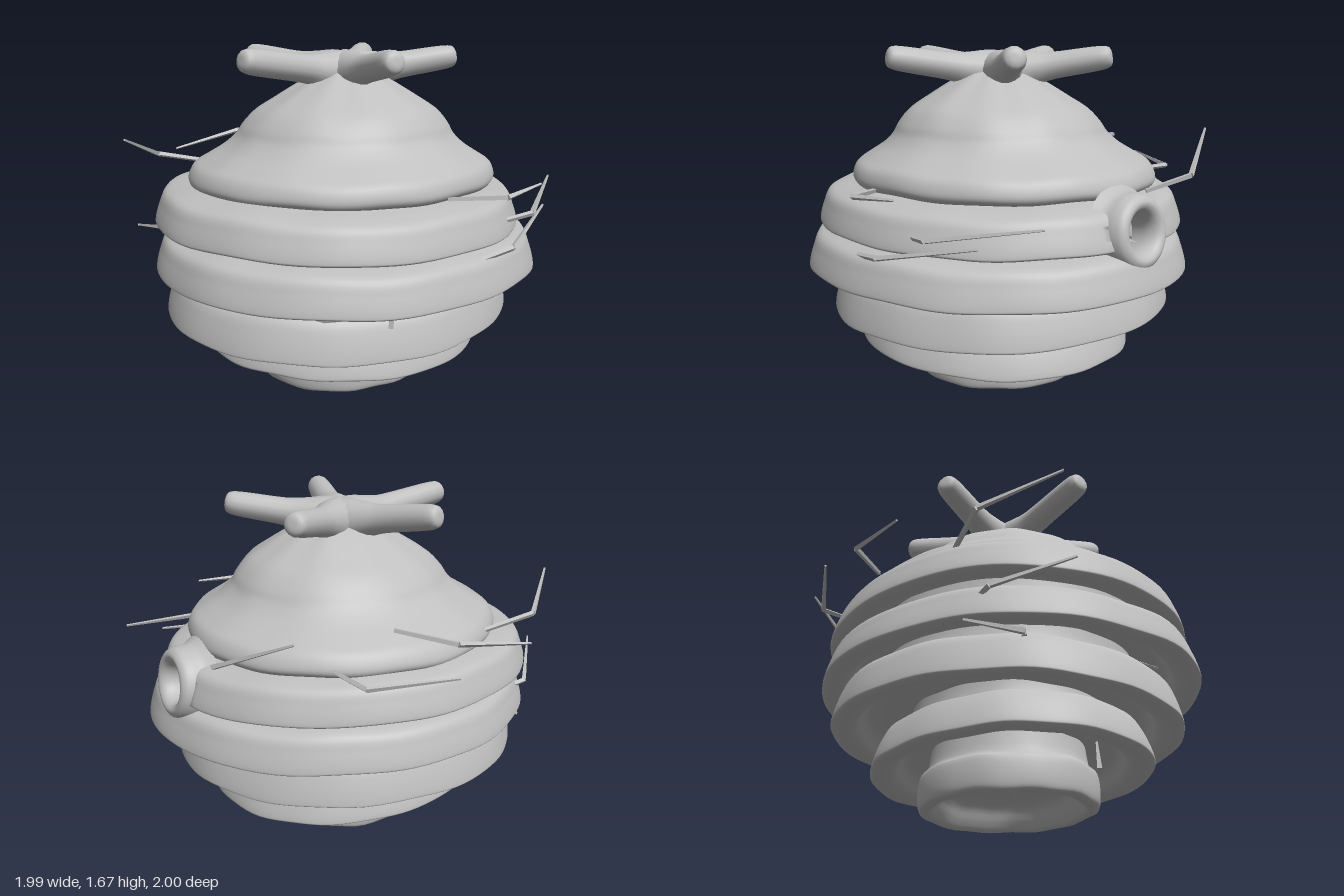
import * as THREE from 'three';
import { mergeVertices } from 'three/addons/utils/BufferGeometryUtils.js';

const V2 = (p) => new THREE.Vector2(p[0], p[1]);
const V3 = (p) => new THREE.Vector3(p[0], p[1], p[2]);
const UP = new THREE.Vector3(0, 1, 0);

// Smooth lathe from a few profile points, reshaped by a rule
function warpedLathe(points, steps, segments, rule) {
  const profile = new THREE.SplineCurve(points.map(V2)).getPoints(steps);
  profile.forEach((p) => { p.x = Math.max(p.x, 0); });
  let geo = new THREE.LatheGeometry(profile, segments);
  if (rule) {
    const pos = geo.attributes.position;
    const v = new THREE.Vector3();
    for (let i = 0; i < pos.count; i++) {
      rule(v.fromBufferAttribute(pos, i));
      pos.setXYZ(i, v.x, v.y, v.z);
    }
  }
  geo.deleteAttribute('normal');
  geo.deleteAttribute('uv');
  geo = mergeVertices(geo, 1e-5);
  geo.computeVertexNormals();
  return geo;
}

// Hand-made unevenness
function wobble(v, seed, amount) {
  const a = Math.atan2(v.z, v.x);
  const k = 1 + amount * (Math.sin(3 * a + seed) + 0.6 * Math.sin(7 * a + seed * 2.3) + 0.5 * Math.sin(13 * a + seed * 1.7));
  v.x *= k;
  v.z *= k;
  v.y += amount * 0.7 * (Math.sin(5 * a + seed * 3.1) + Math.sin(11 * a + seed));
}

const DOOR = { x: 0.045, y: 0.86, r: 0.1 };

export function createModel() {
  const group = new THREE.Group();
  const clay = new THREE.MeshStandardMaterial({ color: 0xbfbfbf, side: THREE.DoubleSide });
  const add = (name, geo, parent = group) => {
    const mesh = new THREE.Mesh(geo, clay);
    mesh.name = name;
    parent.add(mesh);
    return mesh;
  };

  // Overhanging bands: centre, radii, bottom, top, top radius, core height and tilt
  const bands = [
    { cx: 0.05, cz: 0.035, rx: 0.67, rz: 0.725, yb: 0.18, yt: 0.375, rt: 0.6, core: 0.17, tx: -0.015, tz: 0.03 },
    { cx: 0.02, cz: 0.03, rx: 0.84, rz: 0.9, yb: 0.36, yt: 0.58, rt: 0.75, core: 0.17, tx: -0.035, tz: -0.02 },
    { cx: 0.06, cz: 0.005, rx: 0.93, rz: 0.995, yb: 0.585, yt: 0.785, rt: 0.82, core: 0.17, tx: -0.01, tz: 0 },
    { cx: 0.025, cz: 0.025, rx: 0.885, rz: 0.95, yb: 0.8, yt: 0.99, rt: 0.78, core: 0.06, tx: -0.02, tz: 0.01 },
  ];
  bands.forEach((b, i) => {
    const R = (b.rx + b.rz) / 2;
    const h = b.yt - b.yb;
    const profile = [
      [R - 0.42, b.yb + 0.13], [R - 0.2, b.yb + 0.1], [R - 0.12, b.yb + 0.02], [R - 0.05, b.yb],
      [R - 0.005, b.yb + 0.008], [R, b.yb + 0.03], [R - 0.02, b.yb + h * 0.5], [R - 0.05, b.yb + h * 0.83],
      [b.rt + 0.02, b.yt - 0.005], [b.rt - 0.08, b.yt + 0.02], [b.rt - 0.1, b.yt + b.core],
    ];
    add('band' + (i + 2), warpedLathe(profile, 56, 96, (v) => {
      wobble(v, i * 1.9 + 1, 0.004);
      v.x *= b.rx / R;
      v.z *= b.rz / R;
      v.y += b.tx * v.x + b.tz * v.z;
      v.x += b.cx;
      v.z += b.cz;
      // Hollow behind the entrance
      if (v.z < -0.7 && Math.hypot(v.x - DOOR.x, v.y - DOOR.y) < DOOR.r) v.z += 0.16;
    }));
  });

  // Bottom band with a hollow and a narrow shaft in the middle
  add('bottomBand', warpedLathe([
    [0, 0.35], [0.12, 0.345], [0.145, 0.31], [0.15, 0.22], [0.17, 0.18], [0.22, 0.16], [0.31, 0.12], [0.35, 0.05],
    [0.38, 0.01], [0.42, 0.01], [0.44, 0.03], [0.445, 0.1], [0.435, 0.17], [0.4, 0.2], [0.38, 0.33],
  ], 60, 64, (v) => {
    wobble(v, 4, 0.004);
    v.x = v.x * 0.97 + 0.045;
    v.z = v.z * 1.04 + 0.02;
  }));

  // Top band and dome, leaning slightly to one side
  add('dome', warpedLathe([
    [0.55, 1.08], [0.66, 1.01], [0.71, 0.99], [0.755, 0.995], [0.775, 1.03], [0.75, 1.09], [0.69, 1.13],
    [0.61, 1.18], [0.55, 1.235], [0.515, 1.29], [0.455, 1.355], [0.37, 1.41], [0.28, 1.465], [0.2, 1.51],
    [0.1, 1.56], [0, 1.58],
  ], 64, 96, (v) => {
    wobble(v, 2.6, 0.004);
    v.x = v.x * 0.97 + 0.015 + 0.1 * Math.min(v.y - 1, 0.4);
    v.z *= 1.02;
  }));

  // Five-armed stalk: arms thicken towards the hub
  const stalk = new THREE.Group();
  stalk.name = 'stalk';
  group.add(stalk);
  const hub = [0.035, 1.525, 0.0];
  [[0.375, -0.465], [-0.295, -0.465], [-0.52, 0.185], [0.03, 0.645], [0.585, 0.21]].forEach(([x, z], i) => {
    const dx = x - hub[0], dz = z - hub[2];
    const L = Math.hypot(dx, dz);
    const arm = warpedLathe([
      [0.115, 0], [0.11, 0.08], [0.085, 0.18], [0.068, 0.28], [0.062, L - 0.1],
      [0.054, L - 0.025], [0.032, L - 0.003], [0, L],
    ], 28, 14);
    const mesh = add('stalkArm' + (i + 1), arm, stalk);
    mesh.position.set(...hub);
    mesh.quaternion.setFromUnitVectors(UP, new THREE.Vector3(dx, 0.09, dz).normalize());
  });

  // Round entrance at the back, leaning with the wall
  const door = add('entranceRing', warpedLathe([
    [0.22, 0], [0.185, 0.05], [0.175, 0.1], [0.16, 0.135], [0.13, 0.15], [0.1, 0.13], [0.085, 0.08], [0.09, 0],
  ], 32, 40));
  door.rotation.x = -Math.PI / 2 + 0.14;
  door.position.set(DOOR.x, DOOR.y - 0.015, -0.8);

  // Bent straws, thickest at the bend
  const straws = new THREE.Group();
  straws.name = 'straws';
  group.add(straws);
  const segment = (a, b, ra, rb) => {
    const p = V3(a), q = V3(b);
    const mesh = add('straw', new THREE.CylinderGeometry(rb, ra, p.distanceTo(q), 4).toNonIndexed(), straws);
    mesh.geometry.computeVertexNormals();
    mesh.position.copy(p).lerp(q, 0.5);
    mesh.quaternion.setFromUnitVectors(UP, q.sub(p).normalize());
  };
  [
    [[-0.73, 1.25, -0.72], [-0.35, 1.07, -0.9], [-0.18, 1.0, -0.77]],
    [[-0.99, 1.05, -0.08], [-0.81, 1.02, -0.43], [-0.57, 1.03, -0.45]],
    [[-0.91, 1.08, 0.41], [-0.88, 1.15, 0.0], [-0.65, 1.18, -0.17]],
    [[-0.44, 1.24, 0.98], [-0.67, 1.11, 0.67], [-0.6, 1.05, 0.41]],
    [[-0.37, 0.84, 0.97], [-0.62, 0.73, 0.7], [-0.6, 0.7, 0.5]],
    [[0.97, 1.05, -0.37], [0.985, 1.03, -0.09], [0.77, 1.01, 0.06]],
    [[0.66, 0.97, -0.92], [0.88, 0.88, -0.45], [0.83, 0.86, -0.3]],
    [[0.79, 0.87, -0.68], [0.95, 0.77, -0.2], [0.91, 0.74, 0.03]],
  ].forEach(([tip, bend, end]) => {
    segment(tip, bend, 0.006, 0.014);
    segment(bend, end, 0.014, 0.012);
  });
  // Short straws poking out under the bands
  [
    [[-0.05, 0.52, 0.85], [0.3, 0.58, 0.8]],
    [[0.27, 0.51, 0.82], [0.44, 0.58, 0.72]],
    [[0.48, 0.51, 0.67], [0.76, 0.57, 0.52]],
    [[0.74, 0.48, 0.39], [0.75, 0.62, 0.39]],
    [[-0.49, 0.53, 0.77], [-0.68, 0.59, 0.6]],
    [[-0.45, 0.54, 0.72], [-0.46, 0.64, 0.7]],
    [[0.15, 0.13, 0.54], [0.15, 0.26, 0.53]],
  ].forEach(([a, b]) => segment(a, b, 0.016, 0.007));

  return group;
}
